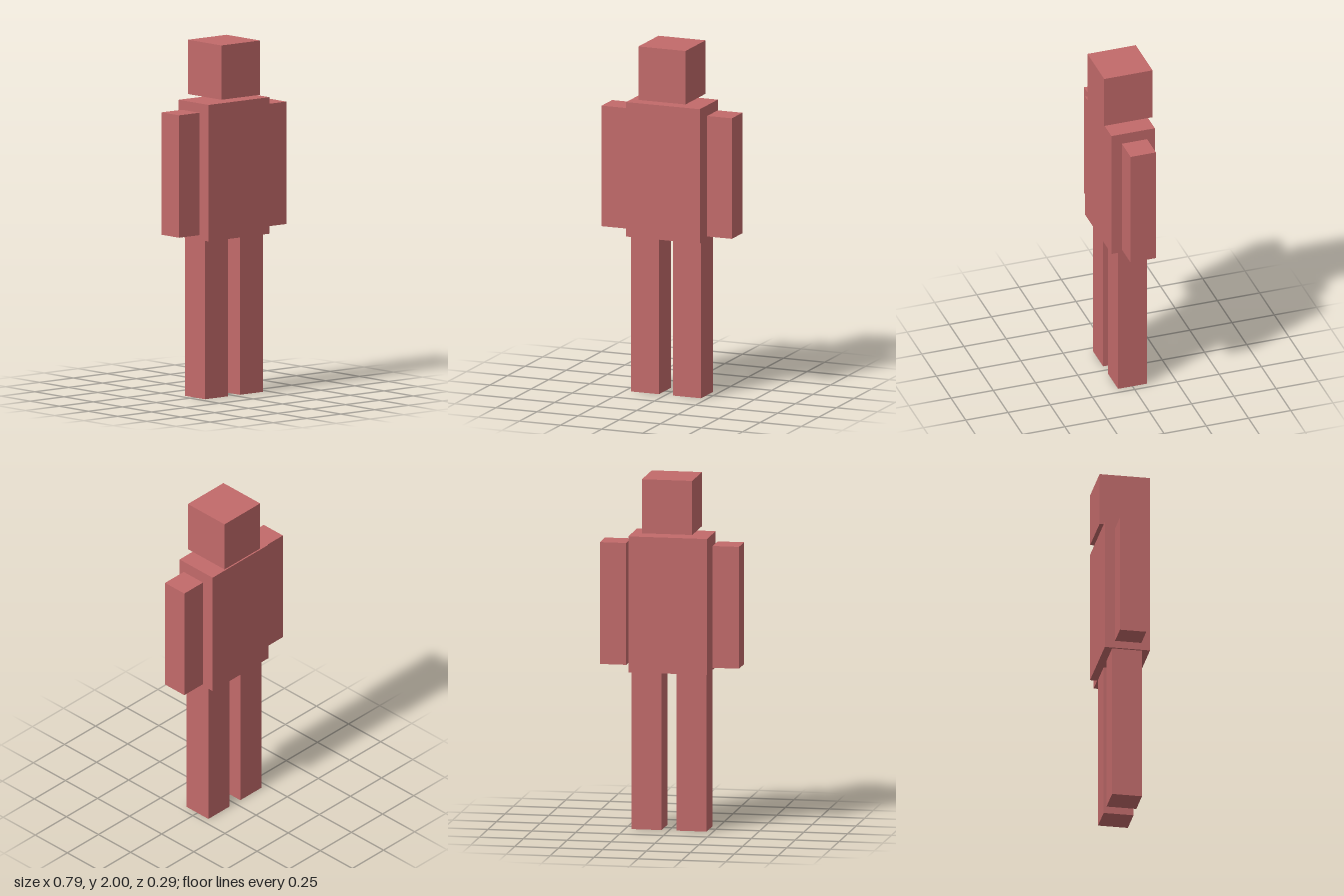
import * as THREE from 'three';

export function createModel() {
  const model = new THREE.Group();
  model.name = 'blockFigure';
  const dustyRed = new THREE.MeshStandardMaterial({ color: 0xc26a6a });
  dustyRed.name = 'dustyRed';

  // Box placed by its centre x, its bottom and top heights, width and depth
  function addBlock(name, x, bottom, top, width, depth) {
    const block = new THREE.Mesh(new THREE.BoxGeometry(width, top - bottom, depth), dustyRed);
    block.name = name;
    block.position.set(x, (bottom + top) / 2, 0);
    model.add(block);
  }

  // Head floats just above the torso
  addBlock('head', 0, 1.693, 2, 0.286, 0.286);
  addBlock('torso', 0, 0.898, 1.67, 0.448, 0.257);

  // Mirrored limbs: arms hang clear of the torso, legs meet its underside
  for (const [side, s] of [['left', 1], ['right', -1]]) {
    addBlock(side + 'Arm', s * 0.321, 0.93, 1.622, 0.15, 0.15);
    addBlock(side + 'Leg', s * 0.128, 0, 0.898, 0.17, 0.17);
  }
  return model;
}
